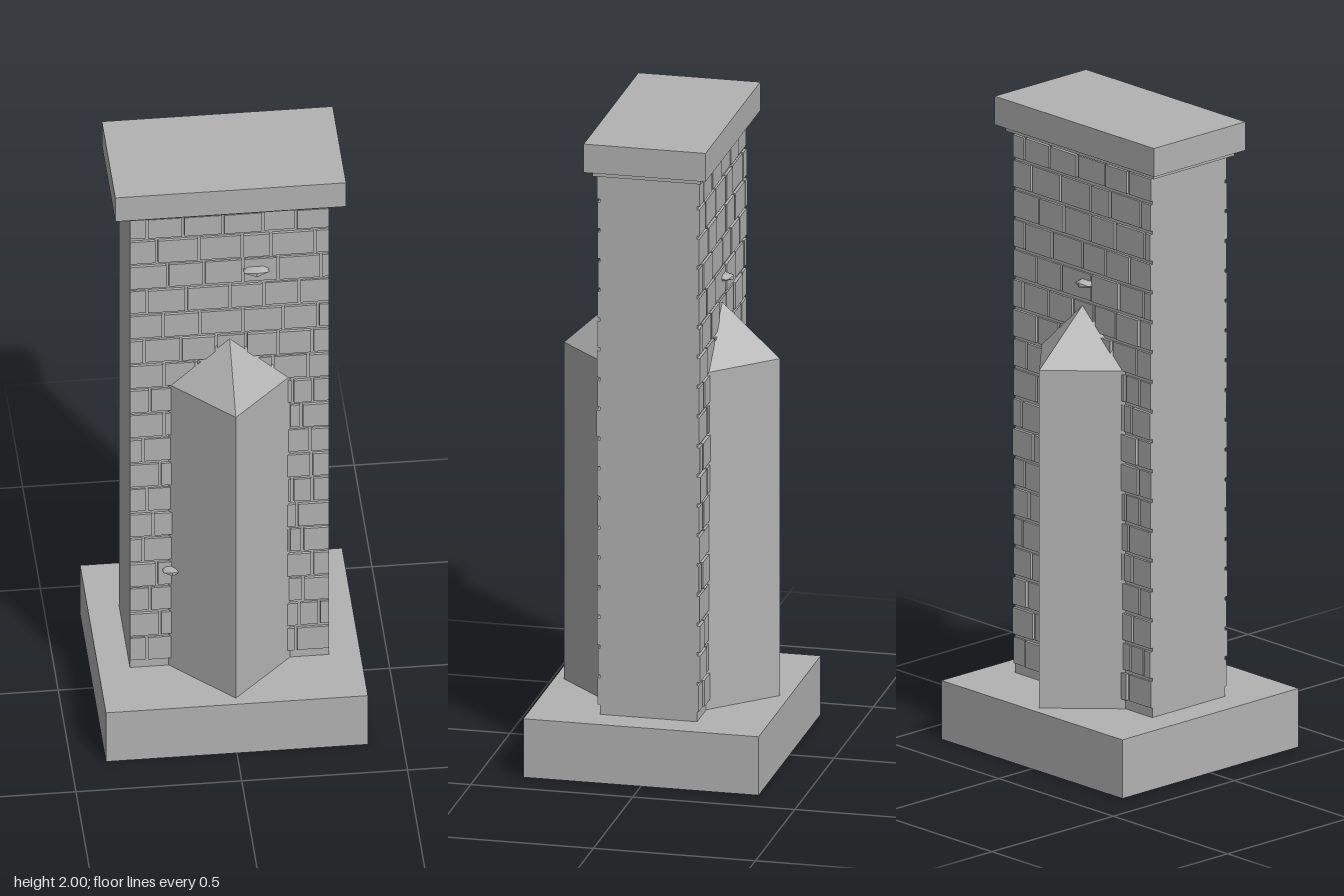
import * as THREE from 'three';

const stone = new THREE.MeshStandardMaterial({ color: 0xb2b2b2 });
stone.name = 'grey stone';

const HALF_W = 0.3, WALL_Z = 0.15, PITCH = 0.094, BRICK_H = 0.083, ROW_0 = 0.216;

function add(parent, name, geometry, x = 0, y = 0, z = 0) {
  const mesh = new THREE.Mesh(geometry, stone);
  mesh.name = name;
  mesh.position.set(x, y, z);
  parent.add(mesh);
  return mesh;
}

// Box given by its half sizes in plan and its bottom and top heights
function slab(parent, name, hx, hz, y0, y1) {
  return add(parent, name, new THREE.BoxGeometry(hx * 2, y1 - y0, hz * 2), 0, (y0 + y1) / 2, 0);
}

function seeded(seed) {
  return () => (seed = (seed * 16807) % 2147483647) / 2147483647;
}

// Upright joints between the bricks of each course, lowest first
const JOINTS = [
  [-0.25, -0.17, 0.2],
  [-0.21, 0.21, 0.27],
  [-0.24, 0.175, 0.222],
  [-0.22, -0.17, 0.25],
  [-0.26, 0.18, 0.22],
  [-0.23, 0.203],
  [-0.25, 0.19, 0.25],
  [-0.21, 0.247],
  [-0.26, 0.242],
  [-0.197, 0.18, 0.217],
  [-0.24, 0.19, 0.25],
  [-0.197, -0.1, 0.02, 0.13, 0.237],
  [-0.257, -0.147, -0.04, 0.05, 0.147, 0.25],
  [-0.2, -0.09, 0.04, 0.162, 0.267],
  [-0.25, -0.13, 0.002, 0.103, 0.21],
  [-0.187, -0.077, 0.04, 0.147, 0.275],
  [-0.22, -0.093, 0.038, 0.124, 0.257],
  [-0.25, -0.14, -0.02, 0.1, 0.2],
];

function brickFace(random) {
  const face = new THREE.Group();
  face.name = 'brickFace';
  JOINTS.forEach((joints, row) => {
    const y0 = ROW_0 + row * PITCH;
    const height = row === JOINTS.length - 1 ? 0.07 : BRICK_H;
    const edges = [-HALF_W, ...joints, HALF_W];
    for (let i = 0; i < edges.length - 1; i++) {
      const a = edges[i] + (i ? 0.004 : 0);
      const b = edges[i + 1] - (i < edges.length - 2 ? 0.004 : 0);
      const depth = 0.005 + random() * 0.005;
      // Courses beside the buttress have no visible brick in the middle
      if (y0 < 1.2 && a > -0.18 && b < 0.18) continue;
      add(face, 'brick', new THREE.BoxGeometry(b - a, height, depth),
        (a + b) / 2, y0 + height / 2, WALL_Z + depth / 2);
    }
  });
  return face;
}

// Wedge-shaped buttress with a sloping pointed top
function buttressGeometry() {
  const L = [-0.183, 0.18, WALL_Z], R = [0.183, 0.18, WALL_Z], F = [0, 0.18, 0.333];
  const up = ([x, , z]) => [x, 1.25, z];
  const apex = [0, 1.42, WALL_Z];
  const faces = [
    L, F, up(F), L, up(F), up(L),
    F, R, up(R), F, up(R), up(F),
    up(L), up(F), apex,
    up(F), up(R), apex,
  ];
  const geometry = new THREE.BufferGeometry();
  geometry.setAttribute('position', new THREE.Float32BufferAttribute(faces.flat(), 3));
  geometry.computeVertexNormals();
  return geometry;
}

// Small flattened stone jutting out of the wall
function knob(parent, x, y, size) {
  const geometry = new THREE.IcosahedronGeometry(1, 0);
  geometry.scale(size, 0.012, 0.038);
  add(parent, 'juttingStone', geometry, x, y, WALL_Z + 0.004);
}

export function createModel() {
  const model = new THREE.Group();
  model.name = 'stonePillar';

  slab(model, 'base', 0.395, 0.363, 0, 0.185);
  slab(model, 'shaft', HALF_W, WALL_Z, 0.185, 1.895);
  slab(model, 'collar', 0.323, 0.167, 1.892, 1.905);
  slab(model, 'cap', 0.348, 0.188, 1.91, 2);
  slab(model, 'capNeck', 0.31, 0.158, 1.89, 1.912);

  // Front and back share the same build, turned half round
  [0, Math.PI].forEach((turn, i) => {
    const side = new THREE.Group();
    side.name = i ? 'backSide' : 'frontSide';
    side.rotation.y = turn;
    side.add(brickFace(seeded(71 + i * 400)));
    add(side, 'buttress', buttressGeometry());
    if (i === 0) {
      knob(side, 0.08, 1.67, 0.045);
      knob(side, -0.175, 0.555, 0.032);
    } else {
      knob(side, 0.018, 1.49, 0.035);
    }
    model.add(side);
  });
  return model;
}
